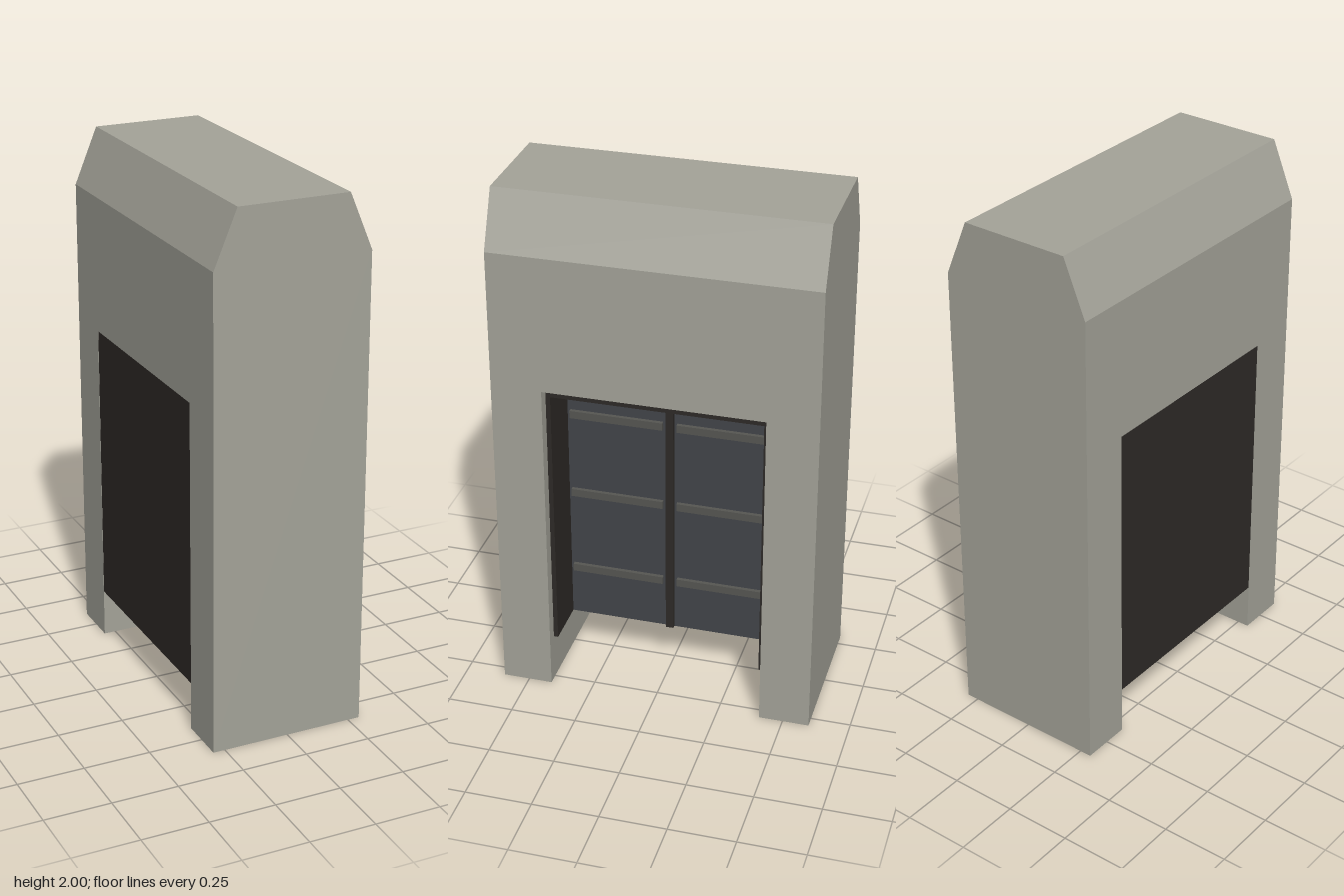
import * as THREE from 'three';

const HALF_X = 0.295, HALF_Z = 0.6, SHOULDER = 1.79, TOP = 2;
const OPEN_Z = 0.41, OPEN_TOP = 1.27, SILL = 0.185;

const material = (color) =>
  new THREE.MeshStandardMaterial({ color, flatShading: true });

function extrude(points, depth) {
  const shape = new THREE.Shape(points.map(([x, y]) => new THREE.Vector2(x, y)));
  return new THREE.ExtrudeGeometry(shape, { depth, bevelEnabled: false })
    .translate(0, 0, -depth / 2);
}

export function createModel() {
  const group = new THREE.Group();
  const stone = material(0xa4a399);
  const frame = material(0x2e2a27);
  const panel = material(0x42454a);
  const metal = material(0x565652);

  const add = (name, geometry, mat) => {
    const mesh = new THREE.Mesh(geometry, mat);
    mesh.name = name;
    group.add(mesh);
  };
  // Box given by its limits on each axis
  const box = (name, mat, [x0, x1], [y0, y1], [z0, z1]) =>
    add(name, new THREE.BoxGeometry(x1 - x0, y1 - y0, z1 - z0)
      .translate((x0 + x1) / 2, (y0 + y1) / 2, (z0 + z1) / 2), mat);

  // Portal wall with an opening that runs down to the ground
  add('wall', extrude([
    [-HALF_Z, 0], [-OPEN_Z, 0], [-OPEN_Z, OPEN_TOP], [OPEN_Z, OPEN_TOP],
    [OPEN_Z, 0], [HALF_Z, 0], [HALF_Z, SHOULDER], [-HALF_Z, SHOULDER],
  ], HALF_X * 2).rotateY(Math.PI / 2), stone);

  // Sloping cap
  add('cap', extrude([
    [-HALF_X, SHOULDER], [HALF_X, SHOULDER], [0.208, TOP], [-0.208, TOP],
  ], HALF_Z * 2), stone);

  // Solid backing, flush with the far face of the wall
  box('backing', frame, [-0.294, 0.04], [SILL, OPEN_TOP], [-OPEN_Z, OPEN_Z]);

  // Lining of the recess
  box('header', frame, [0.04, 0.25], [1.228, OPEN_TOP], [-OPEN_Z, OPEN_Z]);
  box('mullion', frame, [0.04, 0.075], [SILL, 1.228], [-0.015, 0.015]);

  for (const side of [-1, 1]) {
    const span = (a, b) => (side > 0 ? [a, b] : [-b, -a]);
    box('jamb', frame, [0.04, 0.25], [SILL, 1.228], span(0.393, OPEN_Z));

    // Door leaf with three cross bars
    box('doorLeaf', panel, [0.04, 0.06], [SILL, 1.228], span(0.015, 0.393));
    for (const y of [0.395, 0.73, 1.065])
      box('doorBar', metal, [0.06, 0.075], [y - 0.015, y + 0.015], span(0.027, 0.382));
  }

  return group;
}
